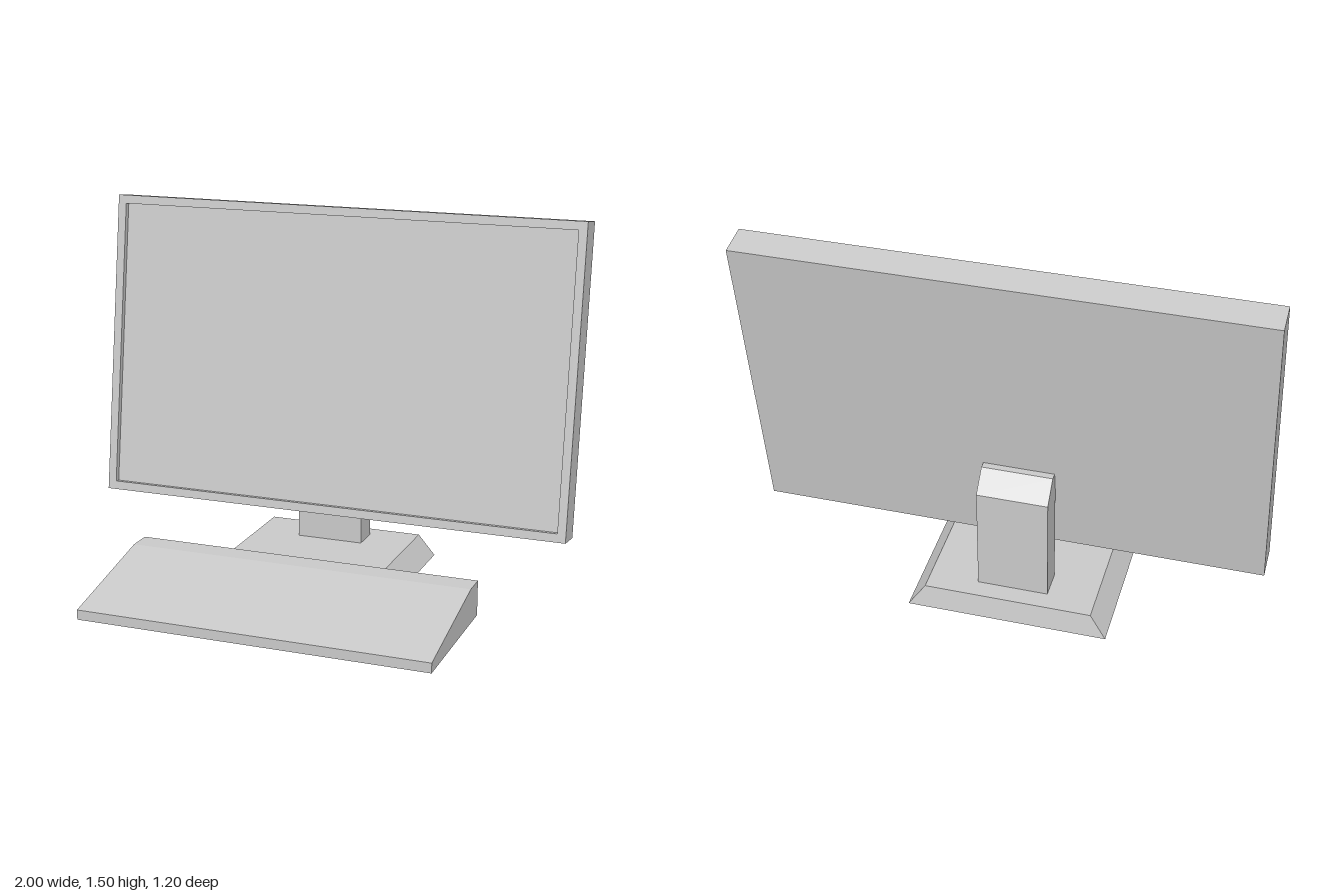
import * as THREE from 'three';

const material = new THREE.MeshStandardMaterial({ color: 0xc8c8c8 });
material.name = 'light grey';

function addPart(parent, name, geometry) {
  const mesh = new THREE.Mesh(geometry, material);
  mesh.name = name;
  parent.add(mesh);
  return mesh;
}

// Side profile of [z, y] points, extruded from x0 to x1
function profilePrism(points, x0, x1) {
  const shape = new THREE.Shape(points.map(([z, y]) => new THREE.Vector2(z, y)));
  const geometry = new THREE.ExtrudeGeometry(shape, { depth: x1 - x0, bevelEnabled: false });
  return geometry.rotateY(-Math.PI / 2).translate(x1, 0, 0);
}

// Box whose top and bottom rectangles [x0, x1, z0, z1] differ
function taperedBlock(bottom, top, height) {
  const geometry = new THREE.BoxGeometry(1, 1, 1);
  const p = geometry.attributes.position;
  for (let i = 0; i < p.count; i++) {
    const upper = p.getY(i) > 0;
    const r = upper ? top : bottom;
    p.setXYZ(i, p.getX(i) < 0 ? r[0] : r[1], upper ? height : 0, p.getZ(i) < 0 ? r[2] : r[3]);
  }
  geometry.computeVertexNormals();
  return geometry;
}

function rectangle(PathType, w, h) {
  return new PathType([[-w, -h], [w, -h], [w, h], [-w, h]].map(([x, y]) => new THREE.Vector2(x / 2, y / 2)));
}

function createMonitor() {
  const width = 2, height = 1.257, depth = 0.126, recess = 0.024, rim = 0.035;
  const monitor = new THREE.Group();
  monitor.name = 'monitor';

  // Open-front casing: outer walls with a sunken screen between them
  const outline = rectangle(THREE.Shape, width, height);
  outline.holes.push(rectangle(THREE.Path, width - 2 * rim, height - 2 * rim));
  const casing = new THREE.ExtrudeGeometry(outline, { depth, bevelEnabled: false });
  addPart(monitor, 'casing', casing.translate(0, 0, -depth / 2));
  const screen = new THREE.BoxGeometry(width - 2 * rim, height - 2 * rim, depth - recess);
  addPart(monitor, 'screen', screen.translate(0, 0, -recess / 2));

  // Leans back
  monitor.position.set(0, 0.87, -0.375);
  monitor.rotation.x = -THREE.MathUtils.degToRad(8);
  return monitor;
}

export function createModel() {
  const model = new THREE.Group();
  model.name = 'desktopComputer';
  model.add(createMonitor());

  // Stand with a bevelled foot and a neck that meets the monitor back
  const stand = new THREE.Group();
  stand.name = 'stand';
  model.add(stand);
  addPart(stand, 'standFoot', taperedBlock([-0.44, 0.355, -0.6, -0.07], [-0.375, 0.29, -0.58, -0.135], 0.09));
  addPart(stand, 'standNeck', profilePrism([
    [-0.505, 0.09], [-0.39, 0.09], [-0.39, 0.47], [-0.381, 0.47],
    [-0.401, 0.608], [-0.43, 0.608], [-0.505, 0.53],
  ], -0.185, 0.095));

  // Wedge-shaped keyboard
  addPart(model, 'keyboard', profilePrism([
    [0, 0], [0.6, 0], [0.6, 0.04], [0.1, 0.143], [0, 0.143],
  ], -0.72, 0.712));

  return model;
}
